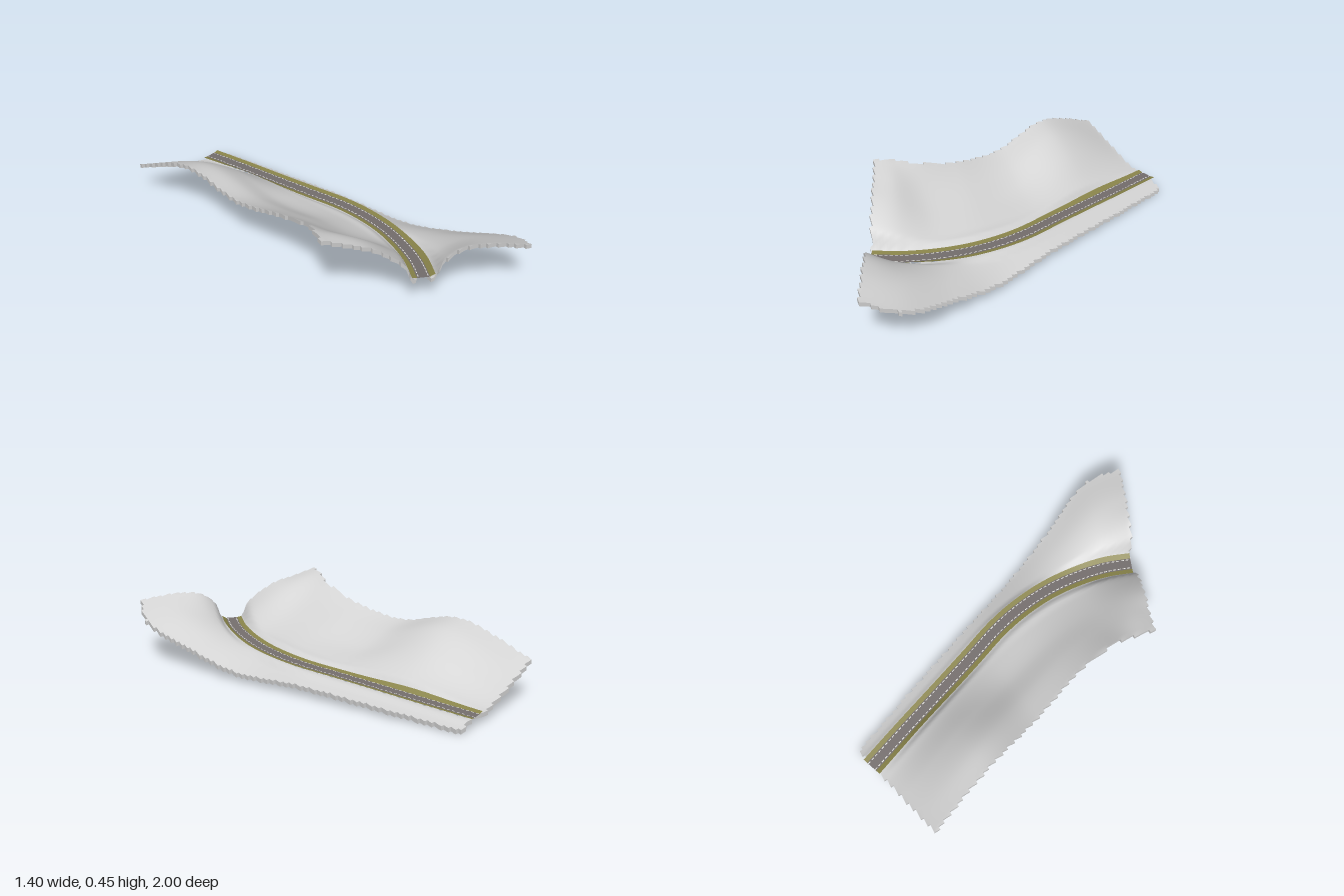
import * as THREE from 'three';

const groundMat = new THREE.MeshStandardMaterial({ color: 0xd2d2d2, side: THREE.DoubleSide, name: 'pale ground' });
const asphaltMat = new THREE.MeshStandardMaterial({ color: 0x756f6e, side: THREE.DoubleSide, name: 'asphalt grey' });
const vergeMat = new THREE.MeshStandardMaterial({ color: 0x89844a, side: THREE.DoubleSide, name: 'olive verge' });
const lineMat = new THREE.MeshStandardMaterial({ color: 0xe6e6e2, side: THREE.DoubleSide, name: 'white line' });

// Cross-sections from back to front: left end, road crossing, right end (x, z),
// heights from the left end to the road, then from the road to the right end
const ROWS = [
  { L: [-0.70, -0.83], C: [-0.20, -0.97], R: [-0.08, -1.00], l: [0.222, 0.17, 0.12, 0.075, 0.065], r: [0.062, 0.05, 0.033] },
  { L: [-0.56, -0.45], C: [-0.03, -0.53], R: [0.11, -0.56], l: [0.37, 0.335, 0.26, 0.165, 0.125], r: [0.088, 0.073, 0.055] },
  { L: [-0.43, -0.10], C: [0.13, -0.13], R: [0.28, -0.15], l: [0.305, 0.26, 0.19, 0.15, 0.135], r: [0.115, 0.095, 0.071] },
  { L: [-0.32, 0.20], C: [0.22, 0.20], R: [0.44, 0.22], l: [0.355, 0.29, 0.22, 0.175, 0.165], r: [0.125, 0.10, 0.064] },
  { L: [-0.29, 0.42], C: [0.235, 0.47], R: [0.56, 0.50], l: [0.42, 0.335, 0.26, 0.20, 0.18], r: [0.17, 0.165, 0.135] },
  { L: [-0.31, 0.55], C: [0.20, 0.68], R: [0.69, 0.80], l: [0.455, 0.41, 0.35, 0.265, 0.21], r: [0.25, 0.275, 0.245] },
  { L: [-0.33, 0.64], C: [0.15, 0.818], R: [0.64, 1.00], l: [0.465, 0.425, 0.385, 0.30, 0.23], r: [0.335, 0.358, 0.33] },
];
const LEFT_AT = [1, 0.75, 0.5, 0.25, 0.12];
const RIGHT_AT = [0.3, 0.6, 1];

// Centre line of the road
const centre = new THREE.CatmullRomCurve3([
  [-0.203, -0.978], [-0.10, -0.72], [0.0, -0.46], [0.09, -0.23], [0.17, -0.03], [0.213, 0.13],
  [0.237, 0.32], [0.23, 0.5], [0.20, 0.67], [0.15, 0.815],
].map(([x, z]) => new THREE.Vector3(x, 0, z)));
const centrePoints = centre.getSpacedPoints(120);
const roadHeight = z => 0.070 + 0.064 * (z + 1);

// Smooth interpolation of a value across the rows, t in 0..1
function acrossRows(pick, t) {
  const f = t * (ROWS.length - 1), i = Math.min(Math.floor(f), ROWS.length - 2), s = f - i;
  const at = k => pick(ROWS[Math.max(0, Math.min(ROWS.length - 1, k))]);
  const [a, b, c, d] = [at(i - 1), at(i), at(i + 1), at(i + 2)];
  return b + 0.5 * s * (c - a + s * (2 * a - 5 * b + 4 * c - d + s * (3 * (b - c) + d - a)));
}
const pointAt = (key, t) => [acrossRows(q => q[key][0], t), acrossRows(q => q[key][1], t)];

// Finds the cross-section through a point and the point's place along it
function locate(x, z) {
  const side = t => {
    const [a, b] = pointAt('L', t), [c, d] = pointAt('R', t);
    return (c - a) * (z - b) - (d - b) * (x - a);
  };
  const inside = side(0) >= 0 && side(1) <= 0;
  let lo = 0, hi = 1;
  for (let k = 0; k < 16; k++) {
    const mid = (lo + hi) / 2;
    if (side(mid) > 0) lo = mid; else hi = mid;
  }
  const L = pointAt('L', lo), R = pointAt('R', lo), C = pointAt('C', lo);
  const dx = R[0] - L[0], dz = R[1] - L[1], len = dx * dx + dz * dz;
  const along = (px, pz) => ((px - L[0]) * dx + (pz - L[1]) * dz) / len;
  const u = along(x, z);
  return { t: lo, u, road: along(C[0], C[1]), inside: inside && u >= 0 && u <= 1 };
}

function roadDistance(x, z) {
  let best = 9;
  for (const p of centrePoints) best = Math.min(best, Math.hypot(p.x - x, p.z - z));
  return best;
}

function groundHeight(x, z) {
  const { t, u, road } = locate(x, z);
  const level = roadHeight(z) - 0.008;
  const left = u < road;
  const f = THREE.MathUtils.clamp(left ? (road - u) / road : (u - road) / (1 - road), 0, 1);
  const knots = left
    ? LEFT_AT.map((at, i) => [at, acrossRows(q => q.l[i], t)]).reverse()
    : RIGHT_AT.map((at, i) => [at, acrossRows(q => q.r[i], t)]);
  knots.unshift([0, level]);
  let i = 0;
  while (i < knots.length - 2 && f > knots[i + 1][0]) i++;
  // Hermite blend between neighbouring knots
  const slope = k => {
    const a = knots[Math.max(0, k - 1)], b = knots[Math.min(knots.length - 1, k + 1)];
    return (b[1] - a[1]) / (b[0] - a[0]);
  };
  const [f0, h0] = knots[i], [f1, h1] = knots[i + 1], w = f1 - f0, s = (f - f0) / w;
  const h = h0 + (h1 - h0) * s * s * (3 - 2 * s)
    + w * s * (1 - s) * ((1 - s) * slope(i) - s * slope(i + 1));
  return THREE.MathUtils.lerp(level, h, THREE.MathUtils.smoothstep(roadDistance(x, z), 0.05, 0.09));
}

function surface(name, positions, index, material) {
  const g = new THREE.BufferGeometry();
  g.setAttribute('position', new THREE.Float32BufferAttribute(positions, 3));
  if (index) g.setIndex(index);
  g.computeVertexNormals();
  const mesh = new THREE.Mesh(g, material);
  mesh.name = name;
  return mesh;
}

// Ground on a square grid with a stepped outline, a slot for the road and a rim
function buildGround(group) {
  const N = 120, step = 2 / N, SKIRT = 0.023;
  const at = i => -1 + i * step;
  const filled = (i, j) => {
    const x = at(i + 0.5), z = at(j + 0.5);
    return locate(x, z).inside && roadDistance(x, z) > 0.032;
  };
  const cells = new Set();
  for (let j = 0; j < N; j++) for (let i = 0; i < N; i++) if (filled(i, j)) cells.add(j * N + i);
  const has = (i, j) => i >= 0 && j >= 0 && i < N && j < N && cells.has(j * N + i);

  const pos = [], idx = [], rim = [], ids = new Map();
  const corner = (i, j) => {
    const key = j * (N + 1) + i;
    if (!ids.has(key)) {
      ids.set(key, pos.length / 3);
      pos.push(at(i), groundHeight(at(i), at(j)), at(j));
    }
    return ids.get(key);
  };
  const wall = (a, b) => {
    const [ax, ay, az] = pos.slice(a * 3, a * 3 + 3), [bx, by, bz] = pos.slice(b * 3, b * 3 + 3);
    rim.push(ax, ay, az, ax, ay - SKIRT, az, bx, by - SKIRT, bz);
    rim.push(ax, ay, az, bx, by - SKIRT, bz, bx, by, bz);
  };
  for (const c of cells) {
    const i = c % N, j = Math.floor(c / N);
    const a = corner(i, j), b = corner(i, j + 1), d = corner(i + 1, j + 1), e = corner(i + 1, j);
    idx.push(a, b, d, a, d, e);
    if (!has(i - 1, j)) wall(a, b);
    if (!has(i, j + 1)) wall(b, d);
    if (!has(i + 1, j)) wall(d, e);
    if (!has(i, j - 1)) wall(e, a);
  }
  group.add(surface('ground', pos, idx, groundMat), surface('groundRim', rim, null, groundMat));
}

// Ribbon following the road between two sideways offsets, each with a lift that depends on z
function ribbon(name, [o0, lift0], [o1, lift1], material, from = 0, to = 1, n = 90) {
  const pos = [], idx = [];
  for (let k = 0; k <= n; k++) {
    const t = from + (to - from) * k / n, p = centre.getPointAt(t), d = centre.getTangentAt(t);
    for (const [o, lift] of [[o0, lift0], [o1, lift1]]) {
      pos.push(p.x + d.z * o, roadHeight(p.z) + lift(p.z), p.z - d.x * o);
    }
    if (k < n) { const a = 2 * k; idx.push(a, a + 2, a + 1, a + 1, a + 2, a + 3); }
  }
  return surface(name, pos, idx, material);
}

export function createModel() {
  const model = new THREE.Group();
  model.name = 'roadThroughValley';
  buildGround(model);

  const road = new THREE.Group();
  road.name = 'road';
  const flat = () => 0, painted = () => 0.002;
  // Verges bank upwards where the road cuts into a slope
  const bank = (mid, reach, rise) => z => 0.005 + rise * Math.exp(-(((z - mid) / reach) ** 2));
  road.add(ribbon('carriageway', [-0.033, flat], [0.033, flat], asphaltMat));
  road.add(ribbon('leftVerge', [-0.059, bank(-0.62, 0.22, 0.014)], [-0.033, flat], vergeMat));
  road.add(ribbon('rightVerge', [0.033, flat], [0.059, bank(0.7, 0.2, 0.014)], vergeMat));
  // Dashed lines along both sides of the carriageway
  const dashes = 70;
  for (const o of [-0.025, 0.025]) {
    for (let k = 0; k < dashes; k++) {
      road.add(ribbon('laneDash', [o - 0.0025, painted], [o + 0.0025, painted], lineMat, k / dashes, (k + 0.6) / dashes, 2));
    }
  }
  model.add(road);
  return model;
}
